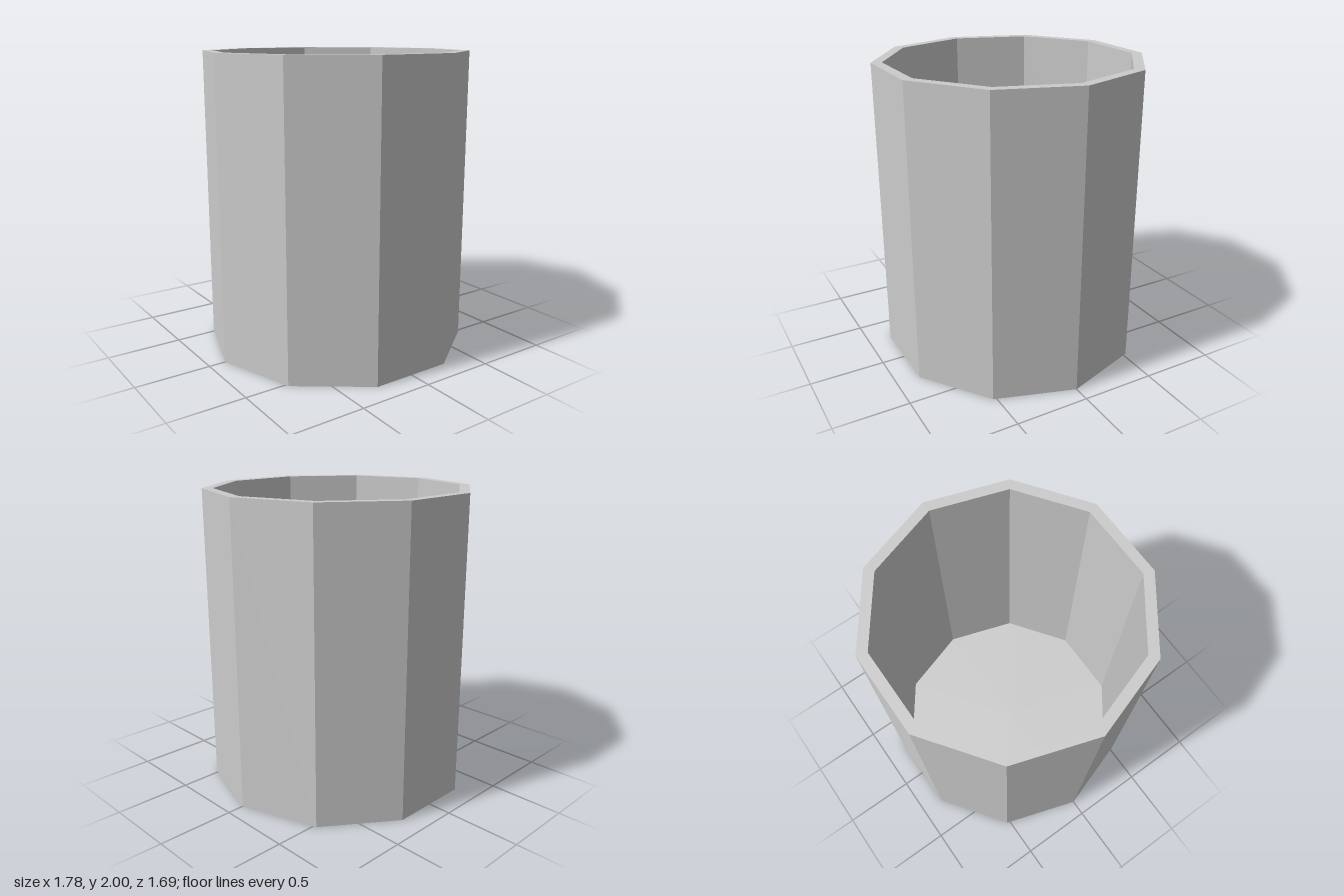
import * as THREE from 'three';

export function createModel() {
  const group = new THREE.Group();
  group.name = 'openContainer';

  const sides = 10;
  const height = 2;
  const outer = 0.888;
  const inner = 0.818;
  const floor = 0.004;

  // Closed profile: underside, outer wall, rim, inner wall, thin floor
  const profile = [
    [0, 0], [outer, 0], [outer, height],
    [inner, height], [inner, floor], [0, floor],
  ].map(([r, y]) => new THREE.Vector2(r, y));

  // Ten-sided, with corners on the x axis
  const cup = new THREE.Mesh(
    new THREE.LatheGeometry(profile, sides, Math.PI / 2),
    new THREE.MeshStandardMaterial({ color: 0xcccccc, flatShading: true })
  );
  cup.name = 'cupBody';
  group.add(cup);

  return group;
}
